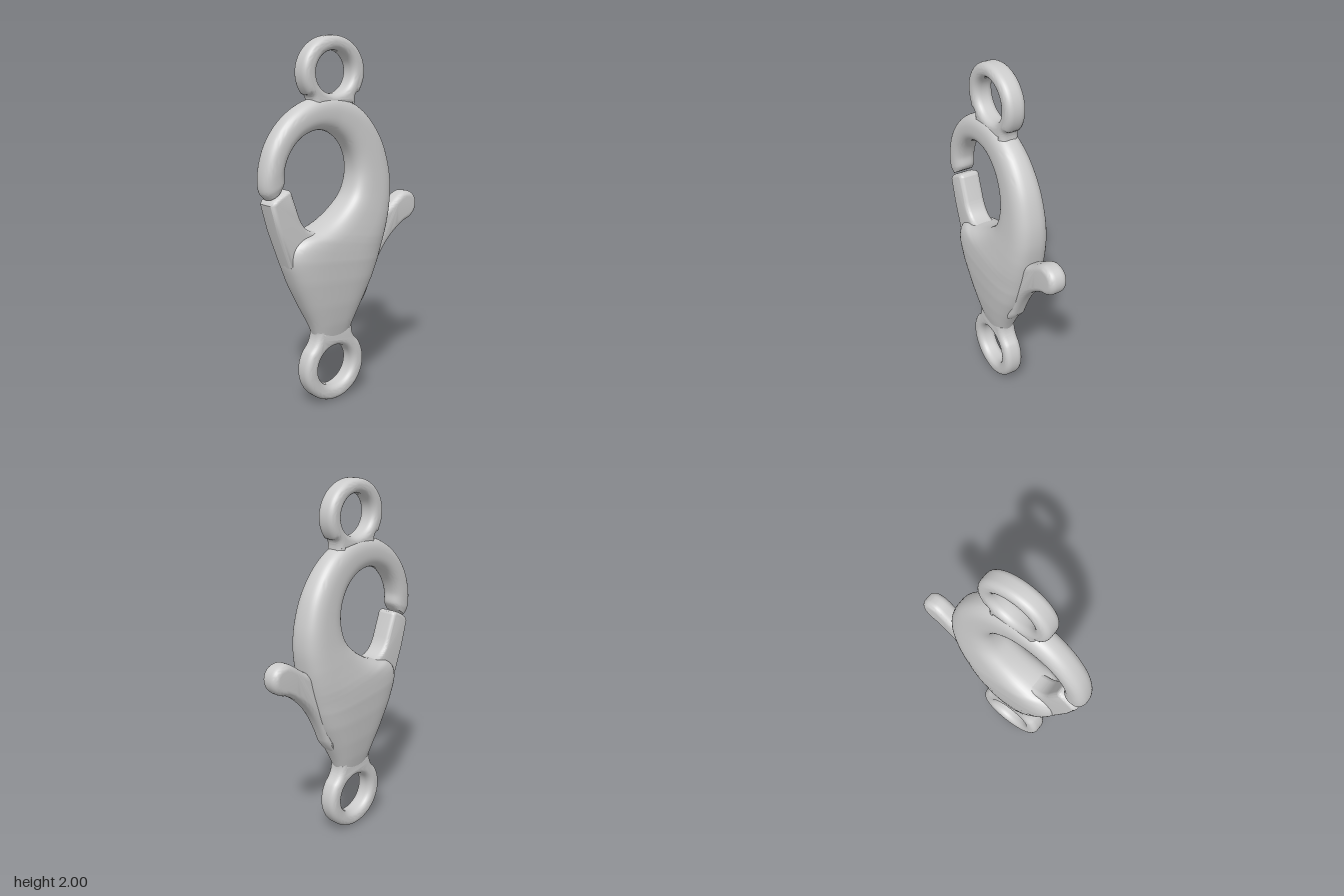
import * as THREE from 'three';
import { toCreasedNormals } from 'three/addons/utils/BufferGeometryUtils.js';

const material = new THREE.MeshStandardMaterial({ color: 0xcccccc, roughness: 0.5 });

function addMesh(group, name, geometry, crease = 0.8) {
  const mesh = new THREE.Mesh(toCreasedNormals(geometry, crease), material);
  mesh.name = name;
  group.add(mesh);
  return mesh;
}

// Flat plate with rounded edges; the outline stays at its drawn size
function roundedPlate(shape, halfDepth, round) {
  const inset = round * 0.9;
  const geometry = new THREE.ExtrudeGeometry(shape, {
    depth: 2 * (halfDepth - round), bevelEnabled: true, bevelThickness: round,
    bevelSize: inset, bevelOffset: -inset, bevelSegments: 6, curveSegments: 24,
  });
  return geometry.translate(0, 0, round - halfDepth);
}

const smooth = (points) => new THREE.CatmullRomCurve3(
  points.map(([x, y, z = 0]) => new THREE.Vector3(x, y, z)), false, 'centripetal');

// Hook and body: rounded sections spanned between an outer and an inner edge.
// Each row: outer x, y, inner x, y, half depth, squareness
const SECTIONS = [
  [-0.505, 1.19, -0.425, 1.245, 0.052, 2.4],
  [-0.533, 1.225, -0.408, 1.275, 0.062, 2.4],
  [-0.537, 1.32, -0.408, 1.335, 0.066, 2.4],
  [-0.49, 1.47, -0.375, 1.415, 0.068, 2.4],
  [-0.38, 1.60, -0.305, 1.485, 0.07, 2.4],
  [-0.22, 1.68, -0.20, 1.52, 0.072, 2.5],
  [-0.04, 1.685, -0.10, 1.503, 0.074, 2.5],
  [0.12, 1.605, -0.015, 1.445, 0.08, 2.6],
  [0.24, 1.455, 0.035, 1.365, 0.088, 2.7],
  [0.297, 1.29, 0.05, 1.27, 0.096, 2.8],
  [0.308, 1.16, 0.02, 1.165, 0.104, 2.9],
  [0.293, 1.04, -0.05, 1.09, 0.113, 3],
  [0.275, 0.96, -0.15, 1.025, 0.12, 3],
  [0.26, 0.905, -0.25, 0.988, 0.125, 3],
  [0.248, 0.865, -0.33, 0.968, 0.127, 3],
  [0.237, 0.83, -0.385, 0.925, 0.127, 3],
  [0.222, 0.785, -0.403, 0.86, 0.126, 3],
  [0.18, 0.685, -0.365, 0.735, 0.116, 3],
  [0.115, 0.56, -0.295, 0.585, 0.097, 2.8],
  [0.06, 0.455, -0.23, 0.46, 0.074, 2.7],
  [0.025, 0.375, -0.195, 0.375, 0.052, 2.6],
];

function bodyGeometry() {
  const outer = smooth(SECTIONS.map((s) => [s[0], s[1]]));
  const inner = smooth(SECTIONS.map((s) => [s[2], s[3]]));
  const last = SECTIONS.length - 1, rows = last * 6, sides = 44;
  const positions = [], index = [];
  const power = (v, e) => Math.sign(v) * Math.abs(v) ** e;
  const mid = [];
  for (let i = 0; i <= rows; i++) {
    const t = i / rows;
    const k = Math.min(Math.floor(t * last), last - 1), f = t * last - k;
    const [depth, square] = [4, 5].map((c) =>
      THREE.MathUtils.lerp(SECTIONS[k][c], SECTIONS[k + 1][c], f));
    const o = outer.getPoint(t), n = inner.getPoint(t);
    const centre = o.clone().add(n).multiplyScalar(0.5);
    const half = o.clone().sub(n).multiplyScalar(0.5);
    mid.push(centre);
    for (let j = 0; j < sides; j++) {
      const a = (j / sides) * Math.PI * 2;
      const u = power(Math.cos(a), 2 / square), w = power(Math.sin(a), 2 / square);
      positions.push(centre.x + half.x * u, centre.y + half.y * u, depth * w);
    }
  }
  for (let i = 0; i < rows; i++) {
    for (let j = 0; j < sides; j++) {
      const a = i * sides + j, b = i * sides + (j + 1) % sides;
      index.push(a, b, a + sides, b, b + sides, a + sides);
    }
  }
  // End caps
  const start = (rows + 1) * sides;
  positions.push(...mid[0].toArray(), ...mid[rows].toArray());
  for (let j = 0; j < sides; j++) {
    const next = (j + 1) % sides;
    index.push(start, next, j, start + 1, rows * sides + j, rows * sides + next);
  }
  const geometry = new THREE.BufferGeometry();
  geometry.setAttribute('position', new THREE.Float32BufferAttribute(positions, 3));
  geometry.setIndex(index);
  return geometry;
}

// Eyelet with a flared neck pointing down (local origin at the hole centre)
function eyeletGeometry(ry, holeRy, neckY, neckHalf) {
  const rx = 0.206, a0 = -0.62;
  const shape = new THREE.Shape();
  const sx = rx * Math.cos(a0), sy = ry * Math.sin(a0);
  shape.moveTo(neckHalf, neckY);
  shape.quadraticCurveTo(neckHalf - 0.005, neckY + 0.06, sx, sy);
  shape.absellipse(0, 0, rx, ry, a0, Math.PI - a0, false, 0);
  shape.quadraticCurveTo(-neckHalf + 0.005, neckY + 0.06, -neckHalf, neckY);
  shape.closePath();
  const hole = new THREE.Path();
  hole.absellipse(0, 0, 0.121, holeRy, 0, Math.PI * 2, true, 0);
  shape.holes.push(hole);
  return roundedPlate(shape, 0.055, 0.036);
}

export function createModel() {
  const group = new THREE.Group();
  group.name = 'clasp';

  addMesh(group, 'hookBody', bodyGeometry());

  // Eyelets at both ends
  const top = addMesh(group, 'topEyelet', eyeletGeometry(0.187, 0.111, -0.17, 0.14));
  top.position.set(-0.085, 1.813, 0);
  const bottom = addMesh(group, 'bottomEyelet', eyeletGeometry(0.2, 0.118, -0.22, 0.122));
  bottom.position.set(-0.085, 0.203, 0);
  bottom.rotation.z = Math.PI;

  // Spring gate closing the hook
  const gate = new THREE.Shape();
  gate.moveTo(-0.51, 1.165);
  gate.lineTo(-0.47, 1.02);
  gate.lineTo(-0.395, 0.82);
  gate.lineTo(-0.2, 0.82);
  gate.lineTo(-0.2, 0.995);
  gate.bezierCurveTo(-0.28, 0.985, -0.315, 1.04, -0.335, 1.09);
  gate.lineTo(-0.38, 1.215);
  gate.quadraticCurveTo(-0.388, 1.24, -0.412, 1.232);
  gate.quadraticCurveTo(-0.46, 1.215, -0.498, 1.185);
  gate.closePath();
  addMesh(group, 'gate', roundedPlate(gate, 0.063, 0.026));

  // Thumb lever
  const lever = new THREE.Shape();
  lever.moveTo(0.1, 0.53);
  lever.lineTo(0.15, 0.59);
  lever.bezierCurveTo(0.21, 0.74, 0.27, 0.87, 0.44, 0.955);
  lever.bezierCurveTo(0.565, 0.975, 0.56, 1.135, 0.44, 1.128);
  lever.bezierCurveTo(0.39, 1.12, 0.36, 1.08, 0.29, 1.04);
  lever.lineTo(0.2, 0.98);
  lever.lineTo(0.1, 0.7);
  lever.closePath();
  addMesh(group, 'thumbLever', roundedPlate(lever, 0.052, 0.036));

  return group;
}
